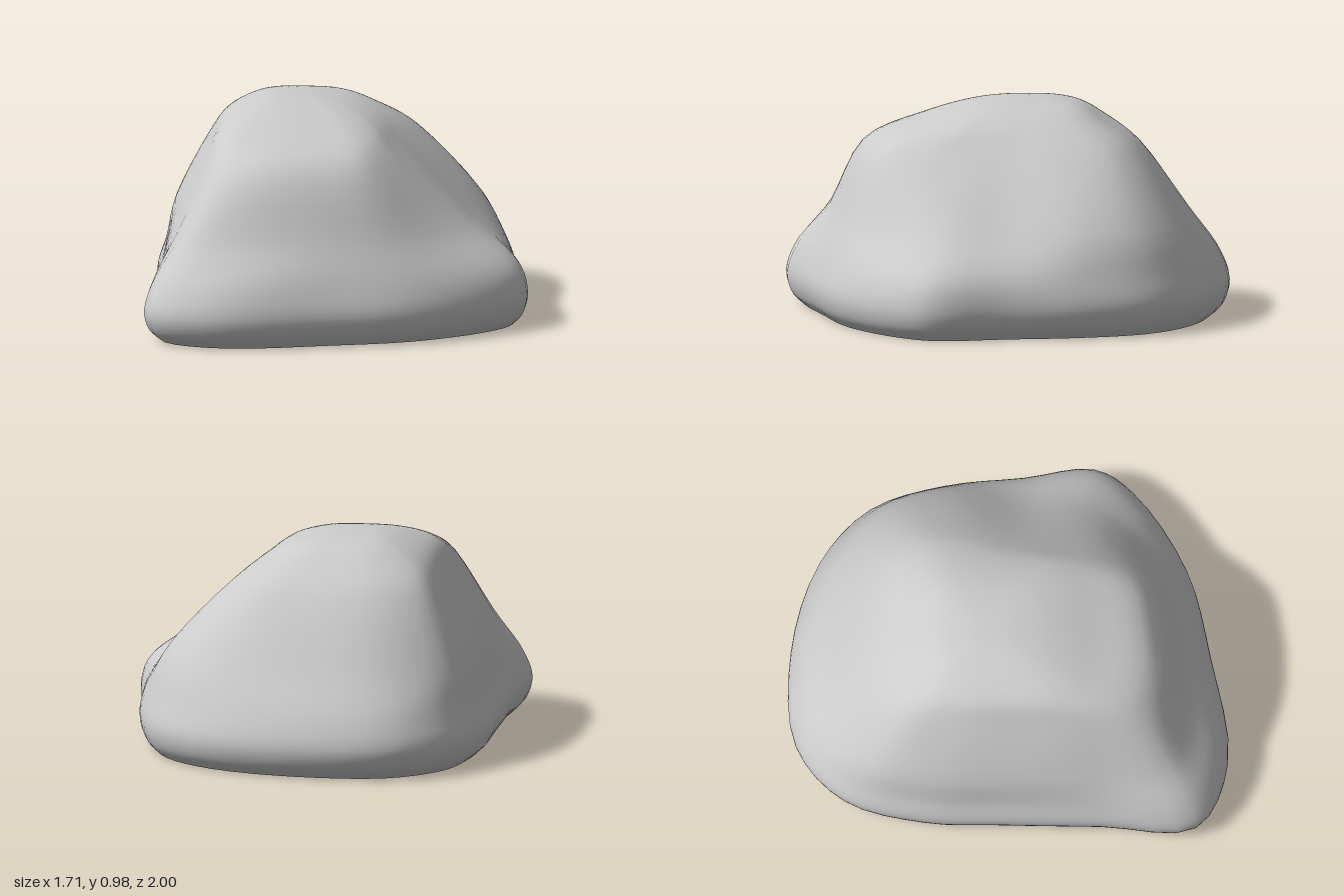
import * as THREE from 'three';

// Contours of the boulder as x, z pairs, from the back round by +x, the front and -x.
const foot = [-.1, -1, .33, -.9, .6, -.69, .73, -.37, .79, 0, .85, .32, .75, .5, .4, .76,
  0, .89, -.5, 1, -.81, .88, -.83, .45, -.85, 0, -.86, -.35, -.78, -.72, -.54, -.95];
const waist = [-.1, -.83, .28, -.77, .51, -.61, .61, -.33, .58, 0, .59, .25, .52, .42, .3, .65,
  0, .76, -.43, .81, -.66, .75, -.73, .4, -.77, 0, -.78, -.33, -.71, -.6, -.46, -.79];
const shoulder = [-.1, -.59, .14, -.56, .27, -.46, .31, -.27, .28, 0, .26, .2, .23, .36, .13, .54,
  -.05, .61, -.33, .64, -.51, .56, -.58, .35, -.61, .02, -.62, -.25, -.58, -.45, -.39, -.57];
const crown = [-.13, -.44, .03, -.42, .12, -.35, .16, -.22, .16, -.05, .15, .1, .13, .21, .05, .32,
  -.1, .36, -.3, .38, -.45, .34, -.52, .22, -.54, -.01, -.54, -.2, -.5, -.34, -.36, -.43];

const AROUND = 64, UP = 40;

// Smooth closed ring at height y, the contour scaled about (cx, cz).
function ring(contour, y, scale = 1, cx = 0, cz = 0) {
  const points = [];
  for (let i = 0; i < contour.length; i += 2) {
    points.push(new THREE.Vector3(cx + (contour[i] - cx) * scale, y, cz + (contour[i + 1] - cz) * scale));
  }
  const curve = new THREE.CatmullRomCurve3(points, true);
  return Array.from({ length: AROUND }, (_, i) => curve.getPoint(i / AROUND));
}

export function createModel() {
  const rings = [
    ring(foot, 0, 0.92),
    ring(foot, 0.05, 0.975),
    ring(foot, 0.14),
    ring(foot, 0.27, 0.955),
    ring(waist, 0.45),
    ring(shoulder, 0.77),
    ring(crown, 0.88),
    ring(crown, 0.945, 0.62, -0.22, -0.16),
    ring(crown, 0.97, 0.28, -0.24, -0.12),
    ring(crown, 0.975, 0.001, -0.25, -0.1),
  ];

  // Skin: one smooth upright profile through the rings for every column.
  const positions = [], indices = [];
  for (let i = 0; i < AROUND; i++) {
    const profile = new THREE.CatmullRomCurve3(rings.map((r) => r[i]));
    for (let j = 0; j <= UP; j++) {
      const p = profile.getPoint(j / UP);
      positions.push(p.x, p.y, p.z);
      if (j === UP) continue;
      const a = i * (UP + 1) + j;
      const b = ((i + 1) % AROUND) * (UP + 1) + j;
      indices.push(b, a, a + 1, b, a + 1, b + 1);
    }
  }
  const geometry = new THREE.BufferGeometry();
  geometry.setAttribute('position', new THREE.Float32BufferAttribute(positions, 3));
  geometry.setIndex(indices);
  geometry.computeVertexNormals();

  // Hollow shell, open underneath.
  const boulder = new THREE.Mesh(geometry, new THREE.MeshStandardMaterial({ color: 0xcccccc, side: THREE.DoubleSide }));
  boulder.name = 'boulder';
  const group = new THREE.Group();
  group.name = 'rock';
  group.add(boulder);
  return group;
}
